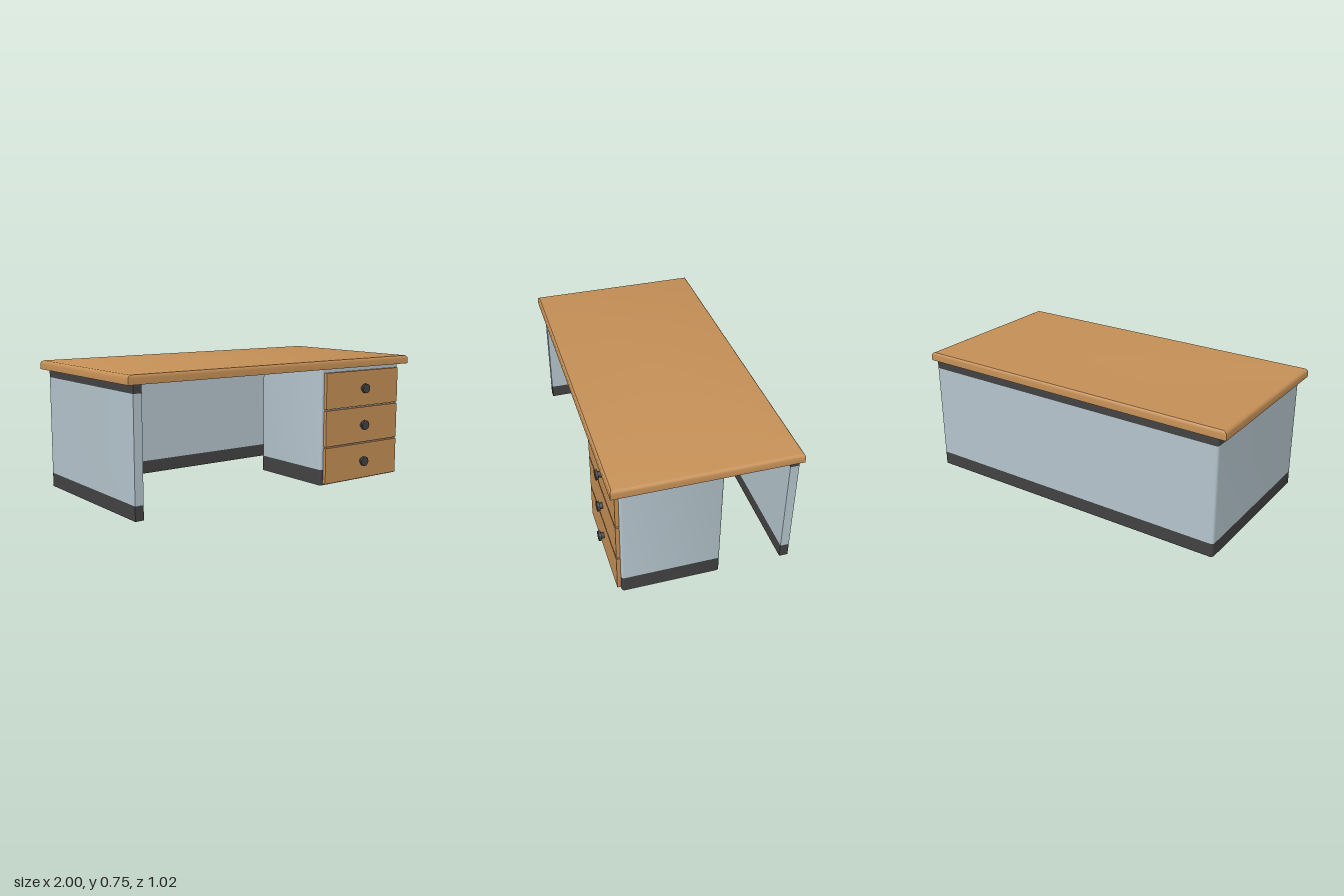
import * as THREE from 'three';
import { toCreasedNormals } from 'three/addons/utils/BufferGeometryUtils.js';

function material(name, color) {
  const m = new THREE.MeshStandardMaterial({ color });
  m.name = name;
  return m;
}

// Extrude a floor-plan outline (points are x, -z) upwards from y0 to y1
function slab(shape, y0, y1) {
  const g = new THREE.ExtrudeGeometry(shape, { depth: y1 - y0, bevelEnabled: false, curveSegments: 5 });
  g.rotateX(-Math.PI / 2).translate(0, y0, 0);
  return toCreasedNormals(g, 0.6);
}

// Floor plan of a box with rounded vertical corners
function roundedPlan(x0, x1, z0, z1, r) {
  const s = new THREE.Shape();
  const a = -z1, b = -z0;
  s.moveTo(x0 + r, a);
  s.lineTo(x1 - r, a).quadraticCurveTo(x1, a, x1, a + r);
  s.lineTo(x1, b - r).quadraticCurveTo(x1, b, x1 - r, b);
  s.lineTo(x0 + r, b).quadraticCurveTo(x0, b, x0, b - r);
  s.lineTo(x0, a + r).quadraticCurveTo(x0, a, x0 + r, a);
  return s;
}

// Floor plan of the left-hand side panel joined to the back panel
function cornerPlan() {
  const s = new THREE.Shape();
  const r = 0.02;
  s.moveTo(-0.955, -0.48);
  s.lineTo(-0.905, -0.48).lineTo(-0.905, 0.45).lineTo(0.965, 0.45).lineTo(0.965, 0.5);
  s.lineTo(-0.955 + r, 0.5).quadraticCurveTo(-0.955, 0.5, -0.955, 0.5 - r);
  s.lineTo(-0.955, -0.48);
  return s;
}

export function createModel() {
  const desk = new THREE.Group();
  desk.name = 'desk';
  const wood = material('wood', 0xc48f56);
  const panel = material('paleBluePanel', 0xb4c4cc);
  const dark = material('darkTrim', 0x424242);

  function add(name, geometry, mat, parent = desk) {
    const mesh = new THREE.Mesh(geometry, mat);
    mesh.name = name;
    parent.add(mesh);
    return mesh;
  }

  // Desktop: four-sided turned profile with a rounded upper edge
  const profile = [[0, 0.70], [1, 0.70], [1, 0.733], [0.997, 0.74], [0.991, 0.746], [0.982, 0.75], [0, 0.75]]
    .map(([r, y]) => new THREE.Vector2(r * Math.SQRT2, y));
  const top = new THREE.LatheGeometry(profile, 4, Math.PI / 4);
  top.scale(1, 1, 0.512);
  add('desktop', toCreasedNormals(top, 0.6), wood);

  // Side and back panels with dark skirting and upper rail
  const corner = cornerPlan();
  add('panelSkirting', slab(corner, 0, 0.08), dark);
  add('sideAndBackPanel', slab(corner, 0.08, 0.652), panel);
  add('panelUpperRail', slab(corner, 0.652, 0.70), dark);

  // Drawer cabinet
  const cabinet = new THREE.Group();
  cabinet.name = 'drawerCabinet';
  desk.add(cabinet);
  const plan = roundedPlan(0.322, 0.968, -0.09, 0.46, 0.018);
  add('cabinetFloor', slab(plan, 0, 0.003), panel, cabinet);
  add('cabinetSkirting', slab(plan, 0.003, 0.095), dark, cabinet);
  add('cabinetBody', slab(plan, 0.095, 0.70), panel, cabinet);

  // Three drawers, each with a round knob
  for (let i = 0; i < 3; i++) {
    const y = 0.117 + i * 0.2245;
    const drawer = new THREE.Group();
    drawer.name = 'drawer' + (i + 1);
    drawer.position.set(0.645, y, 0);
    cabinet.add(drawer);
    add('drawerFront', new THREE.BoxGeometry(0.60, 0.216, 0.022), wood, drawer).position.z = 0.47;
    const stem = new THREE.CylinderGeometry(0.018, 0.018, 0.02, 20).rotateX(Math.PI / 2);
    add('knobStem', stem, dark, drawer).position.z = 0.49;
    const head = new THREE.CylinderGeometry(0.029, 0.029, 0.014, 20).rotateX(Math.PI / 2);
    add('knobHead', head, dark, drawer).position.z = 0.505;
  }
  return desk;
}
